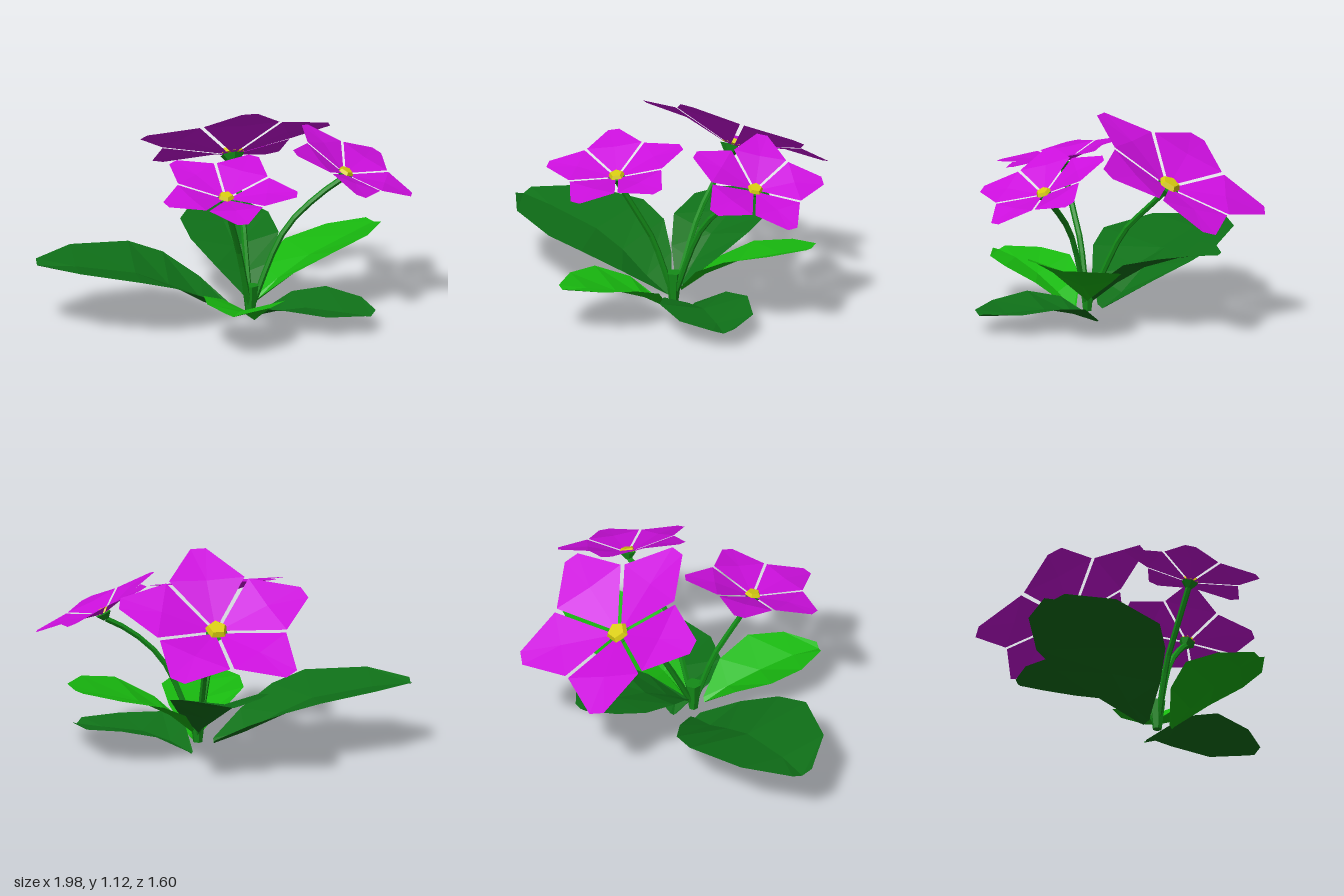
import * as THREE from 'three';

const V = (x, y, z) => new THREE.Vector3(x, y, z);
const paint = (color, side = THREE.FrontSide) =>
  new THREE.MeshStandardMaterial({ color, flatShading: true, side });

const petalMat = paint(0xcc0fdd, THREE.DoubleSide);
const darkLeaf = paint(0x0f7018, THREE.DoubleSide);
const lightLeaf = paint(0x18b80f, THREE.DoubleSide);
const stemMat = paint(0x148c18);
const heartMat = paint(0xd8cc10);

function surface(points, index, material, name) {
  const geo = new THREE.BufferGeometry().setFromPoints(points);
  geo.setIndex(index);
  const flat = geo.toNonIndexed();
  flat.computeVertexNormals();
  const mesh = new THREE.Mesh(flat, material);
  mesh.name = name;
  return mesh;
}

// Leaf: V-shaped cross-sections along a midrib.
// Each station is [x, y, z of the midrib, half width, lift of the edges].
// roll raises the left edge and lowers the right one.
function makeLeaf(name, material, stations, roll = 0) {
  const first = stations[0], last = stations[stations.length - 1];
  const dir = V(last[0] - first[0], 0, last[2] - first[2]).normalize();
  const side = V(dir.z, 0, -dir.x);
  const points = [], index = [];
  stations.forEach(([x, y, z, half, lift], i) => {
    for (const k of [-1, 0, 1]) {
      const p = V(x, y, z).addScaledVector(side, k * half);
      p.y += Math.abs(k) * lift + k * half * roll;
      points.push(p);
    }
    if (i === 0) return;
    for (let j = 0; j < 2; j++) {
      const a = (i - 1) * 3 + j, b = a + 3;
      index.push(a, b, a + 1, b, b + 1, a + 1);
    }
  });
  return surface(points, index, material, name);
}

// Petal of a unit flower: sunken heart end, broad shoulders, narrow blunt tip
function makePetal(angle) {
  const at = (r, deg, h) => {
    const t = angle + THREE.MathUtils.degToRad(deg);
    return V(r * Math.sin(t), h, r * Math.cos(t));
  };
  const points = [at(0.57, 0, -0.02), at(0.03, 0, -0.17), at(0.69, -34.2, 0),
    at(1, -4.5, 0), at(1, 4.5, 0), at(0.69, 34.2, 0)];
  const index = [];
  for (let i = 1; i <= 5; i++) index.push(0, i, (i % 5) + 1);
  return surface(points, index, petalMat, 'petal');
}

// Flower: normal is where it faces, front is the direction of its first petal
function makeFlower(name, centre, normal, front, radius) {
  const flower = new THREE.Group();
  flower.name = name;
  for (let i = 0; i < 5; i++) flower.add(makePetal((i * Math.PI * 2) / 5));

  const heart = new THREE.Mesh(new THREE.CylinderGeometry(0.09, 0.12, 0.05, 5), heartMat);
  heart.name = 'flowerHeart';
  heart.position.y = -0.125;
  const calyx = new THREE.Mesh(new THREE.CylinderGeometry(0.125, 0.05, 0.09, 6), stemMat);
  calyx.name = 'calyx';
  calyx.position.y = -0.215;
  flower.add(heart, calyx);

  const n = normal.clone().normalize();
  const x = n.clone().cross(front).normalize();
  const z = x.clone().cross(n);
  flower.quaternion.setFromRotationMatrix(new THREE.Matrix4().makeBasis(x, n, z));
  flower.position.copy(centre);
  flower.scale.setScalar(radius);
  return flower;
}

function makeStem(name, points) {
  const curve = new THREE.CatmullRomCurve3(points);
  const stem = new THREE.Mesh(new THREE.TubeGeometry(curve, 8, 0.016, 6), stemMat);
  stem.name = name;
  return stem;
}

export function createModel() {
  const plant = new THREE.Group();
  plant.name = 'floweringPlant';

  // Flowers
  plant.add(
    makeFlower('backFlower', V(0.155, 0.844, -0.423), V(0, 0.854, -0.52), V(0, 0.52, 0.854), 0.53),
    makeFlower('frontFlower', V(-0.055, 0.836, 0.385), V(0, 0.97, 0.23), V(0.01, -0.23, 0.97), 0.376),
    makeFlower('sideFlower', V(0.678, 0.832, 0.114), V(0.4, 0.895, 0.19), V(-0.02, -0.06, 0.36), 0.365),
  );

  // Stems rising from the crown
  const foot = V(0.135, 0.06, 0.12);
  plant.add(
    makeStem('backStem', [foot, V(0.145, 0.42, -0.06), V(0.15, 0.5, -0.11), V(0.155, 0.735, -0.352)]),
    makeStem('frontStem', [foot, V(0.06, 0.39, 0.2), V(0.04, 0.46, 0.23), V(-0.055, 0.748, 0.364)]),
    makeStem('sideStem', [foot, V(0.32, 0.49, 0.12), V(0.49, 0.66, 0.12), V(0.642, 0.75, 0.097)]),
  );
  const crown = new THREE.Mesh(new THREE.CylinderGeometry(0.045, 0.025, 0.16, 6), stemMat);
  crown.name = 'crown';
  crown.position.set(0.135, 0.12, 0.12);
  plant.add(crown);

  // Leaves
  plant.add(
    makeLeaf('bigSideLeaf', darkLeaf, [
      [0.06, 0.04, 0.07, 0.03, 0.02], [-0.1, 0.1, 0.04, 0.19, 0.08], [-0.28, 0.2, 0.01, 0.32, 0.08],
      [-0.46, 0.275, 0, 0.365, 0.06], [-0.78, 0.325, -0.03, 0.26, 0.04], [-0.98, 0.335, -0.06, 0.06, 0.02],
    ]),
    makeLeaf('backLeaf', darkLeaf, [
      [0.14, 0.1, 0.08, 0.02, 0.02], [0.14, 0.21, -0.06, 0.15, 0.05], [0.13, 0.31, -0.22, 0.24, 0.06],
      [0.12, 0.38, -0.42, 0.24, 0.04], [0.12, 0.41, -0.56, 0.16, 0.025], [0.13, 0.42, -0.66, 0.04, 0.01],
    ]),
    makeLeaf('upperSideLeaf', lightLeaf, [
      [0.17, 0.1, 0.1, 0.02, 0.02], [0.3, 0.21, 0.06, 0.16, 0.05], [0.48, 0.31, 0.01, 0.25, 0.05],
      [0.7, 0.38, -0.06, 0.21, 0.03], [0.86, 0.425, -0.12, 0.08, 0.01],
    ], -0.12),
    makeLeaf('lowerSideLeaf', darkLeaf, [
      [0.19, 0, 0.03, 0.015, 0.01], [0.28, 0.05, 0.13, 0.17, 0.06], [0.41, 0.09, 0.23, 0.24, 0.05],
      [0.59, 0.09, 0.36, 0.2, 0.03], [0.71, 0.09, 0.46, 0.06, 0.02],
    ]),
    makeLeaf('frontLeaf', lightLeaf, [
      [0.14, 0.03, 0.2, 0.02, 0.02], [0.09, 0.11, 0.32, 0.15, 0.07], [0.02, 0.18, 0.48, 0.22, 0.07],
      [-0.05, 0.235, 0.65, 0.17, 0.03], [-0.11, 0.25, 0.78, 0.04, 0.015],
    ]),
  );
  return plant;
}
